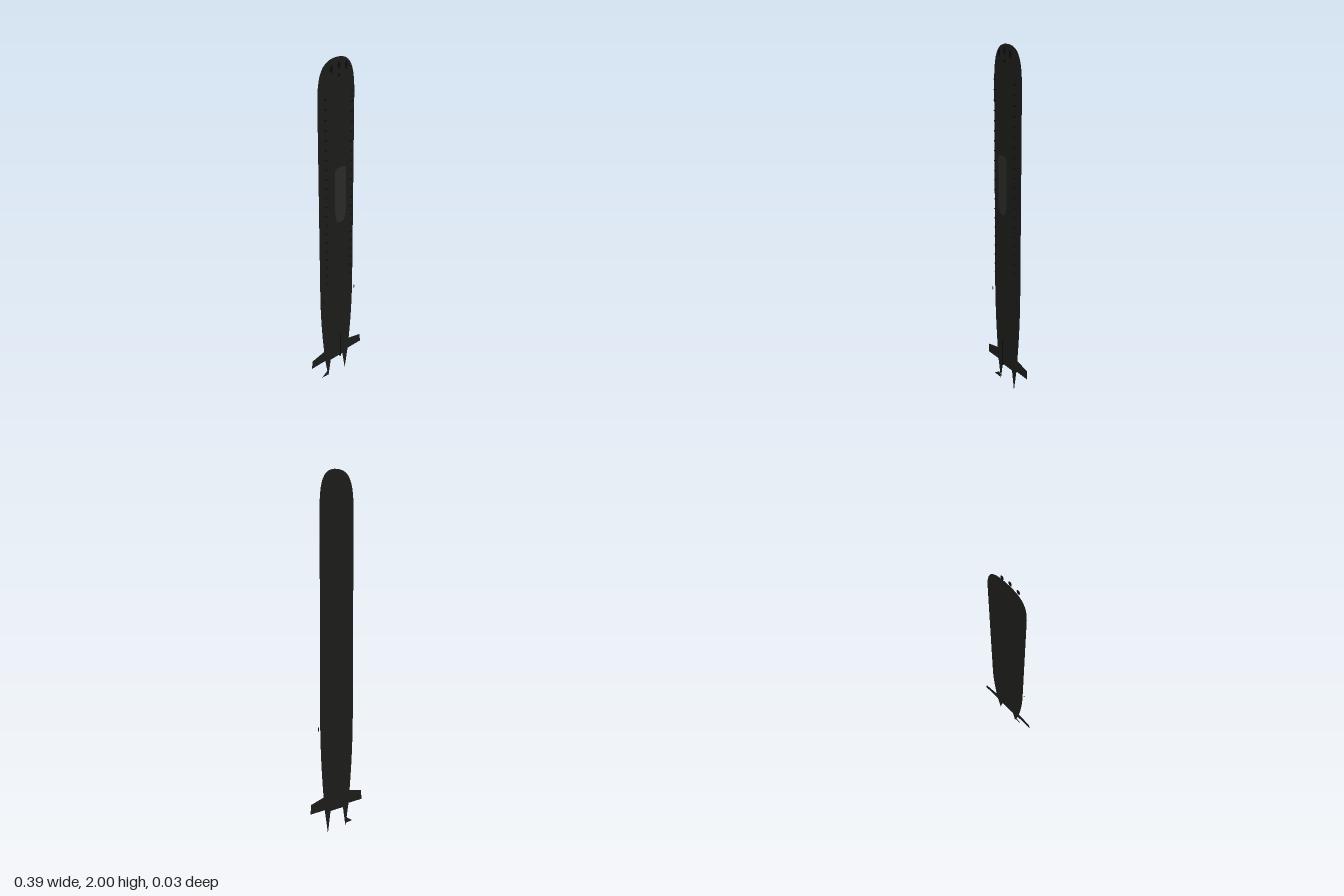
import * as THREE from 'three';

const material = (color) => new THREE.MeshStandardMaterial({ color, side: THREE.DoubleSide });
const hullMat = material(0x1c1c1a);
const sailMat = material(0x2b2b27);
const darkMat = material(0x0c0c0c);

// Depths of the flat layers, back to front
const HULL_Z = -0.017, PROP_Z = -0.013, DETAIL_Z = 0.003, SAIL_Z = 0.017;

export function createModel() {
  const model = new THREE.Group();
  model.name = 'submarine';

  const sheet = (name, shape, mat, z, x = 0, y = 0) => {
    const mesh = new THREE.Mesh(new THREE.ShapeGeometry(shape, 16), mat);
    mesh.name = name;
    mesh.position.set(x, y, z);
    model.add(mesh);
    return mesh;
  };
  const polygon = (points) => new THREE.Shape(points.map(([x, y]) => new THREE.Vector2(x, y)));
  const ellipse = (rx, ry) => new THREE.Shape().absellipse(0, 0, rx, ry, 0, Math.PI * 2);

  // Hull plate: rounded bow, parallel sides, tapering stern
  const hull = new THREE.Shape();
  hull.moveTo(0, 0.125);
  hull.lineTo(0.09, 0.125);
  hull.lineTo(0.1, 0.215);
  hull.quadraticCurveTo(0.12, 0.4, 0.124, 0.6);
  hull.lineTo(0.125, 1.8);
  hull.bezierCurveTo(0.122, 1.93, 0.1, 2, 0, 2);
  hull.bezierCurveTo(-0.1, 2, -0.122, 1.93, -0.125, 1.8);
  hull.lineTo(-0.124, 0.6);
  hull.quadraticCurveTo(-0.12, 0.4, -0.1, 0.215);
  hull.lineTo(-0.09, 0.125);
  sheet('hull', hull, hullMat, HULL_Z);

  // Mirrored stern planes, tail cones and side details
  for (const s of [-1, 1]) {
    sheet('sternPlane', polygon([[s * 0.085, 0.14], [s * 0.197, 0.14], [s * 0.193, 0.193], [s * 0.095, 0.216]]),
      hullMat, HULL_Z);
    sheet('tailCone', polygon([[s * 0.047, 0.13], [s * 0.068, s < 0 ? 0.008 : 0], [s * 0.092, 0.14]]),
      hullMat, HULL_Z);
    sheet('sideMark', ellipse(0.004, 0.012), darkMat, DETAIL_Z, s * 0.119, 0.6);

    // Row of flood vents
    for (let i = 0; i < 21; i++)
      sheet('floodVent', ellipse(0.011, 0.004), darkMat, DETAIL_Z, s * 0.09, 0.71 + i * 0.055);
    sheet('bowPort', ellipse(0.01, 0.02), darkMat, DETAIL_Z, s * 0.05, 1.955);
  }

  // Central bow ports
  sheet('bowPort', ellipse(0.01, 0.02), darkMat, DETAIL_Z, 0, 1.965);
  sheet('bowPort', ellipse(0.008, 0.008), darkMat, DETAIL_Z, 0, 1.915);

  // Propeller blade on one side only
  const blade = new THREE.Shape();
  blade.moveTo(-0.125, 0.028);
  blade.quadraticCurveTo(-0.1, 0.042, -0.08, 0.058);
  blade.lineTo(-0.066, 0.04);
  blade.lineTo(-0.075, 0.025);
  blade.quadraticCurveTo(-0.1, 0.026, -0.125, 0.028);
  sheet('propellerBlade', blade, hullMat, PROP_Z);

  // Sail
  const sail = new THREE.Shape();
  sail.moveTo(-0.018, 1.09);
  sail.lineTo(0.018, 1.09);
  sail.quadraticCurveTo(0.032, 1.1, 0.039, 1.16);
  sail.lineTo(0.039, 1.395);
  sail.quadraticCurveTo(0.037, 1.42, 0.015, 1.42);
  sail.lineTo(-0.015, 1.42);
  sail.quadraticCurveTo(-0.037, 1.42, -0.039, 1.395);
  sail.lineTo(-0.039, 1.16);
  sail.quadraticCurveTo(-0.032, 1.1, -0.018, 1.09);
  sheet('sail', sail, sailMat, SAIL_Z);

  // Rudder seen edge on, with its hinge
  sheet('rudder', polygon([[-0.004, 0.15], [0.004, 0.15], [0.004, 0.3], [0, 0.34], [-0.004, 0.3]]), darkMat, SAIL_Z);
  sheet('rudderHinge', ellipse(0.009, 0.009), darkMat, SAIL_Z - 0.001, 0, 0.16);

  return model;
}
